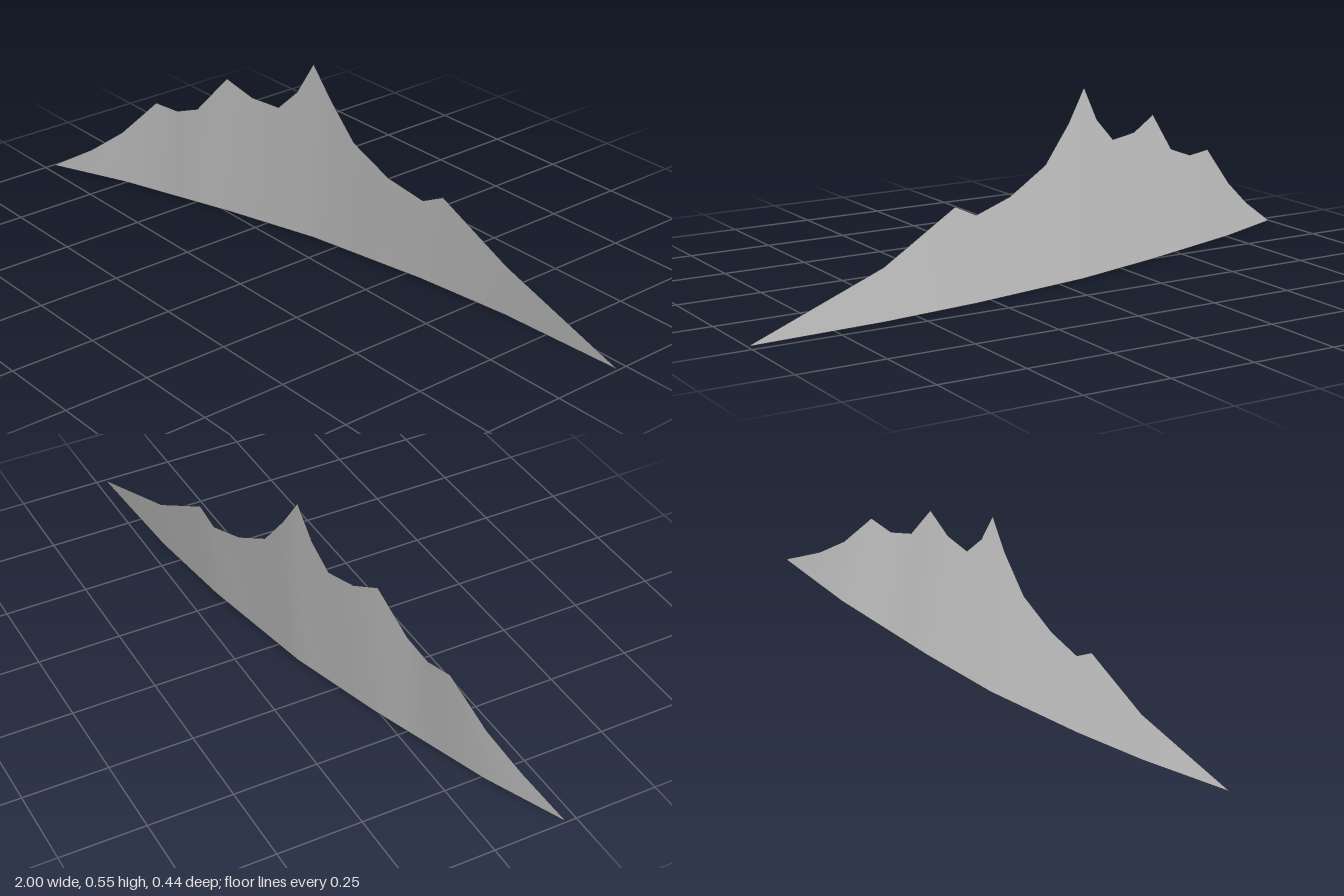
import * as THREE from 'three';

// Ridge line from the right end to the left end: x, height, z of the curved sheet
const RIDGE = [
  [-1, 0, 0.22], [-0.863, 0.085, 0.163], [-0.758, 0.167, 0.117],
  [-0.64, 0.292, 0.069], [-0.56, 0.286, 0.049], [-0.48, 0.315, 0.033],
  [-0.385, 0.433, -0.007], [-0.3, 0.393, -0.034], [-0.21, 0.385, -0.06],
  [-0.145, 0.45, -0.076], [-0.09, 0.55, -0.092], [-0.03, 0.455, -0.106],
  [0.055, 0.348, -0.12], [0.18, 0.278, -0.14], [0.3, 0.245, -0.163],
  [0.37, 0.278, -0.173], [0.6, 0.148, -0.199], [1, 0, -0.22],
];
// Ridge points that stand above the corners of the ground line
const CORNERS = [0, 2, 6, 10, 14, 16, 17];

// Depth of the ground line at x, straight between its corners
function groundZ(x) {
  const end = Math.max(1, CORNERS.findIndex((i) => RIDGE[i][0] >= x));
  const [x0, , z0] = RIDGE[CORNERS[end - 1]];
  const [x1, , z1] = RIDGE[CORNERS[end]];
  return THREE.MathUtils.mapLinear(x, x0, x1, z0, z1);
}

export function createModel() {
  const rock = new THREE.MeshStandardMaterial({ color: 0xc4c4c4, side: THREE.DoubleSide });
  rock.name = 'light grey rock';

  // Upright strip: each ridge point is joined to the ground line below it
  const positions = [];
  const indices = [];
  const last = RIDGE.length - 1;
  RIDGE.forEach(([x, y, z], i) => {
    positions.push(x, 0, groundZ(x), x, y, z);
    if (i === last) return;
    const a = 2 * i;
    if (i < last - 1) indices.push(a, a + 2, a + 3);
    else indices.push(a, a + 2, a + 1);
    if (i > 0 && i < last - 1) indices.push(a, a + 3, a + 1);
  });

  const geometry = new THREE.BufferGeometry();
  geometry.setAttribute('position', new THREE.Float32BufferAttribute(positions, 3));
  geometry.setIndex(indices);
  geometry.computeVertexNormals();

  const ridge = new THREE.Mesh(geometry, rock);
  ridge.name = 'mountainRidge';
  const model = new THREE.Group();
  model.name = 'mountainBackdrop';
  model.add(ridge);
  return model;
}
